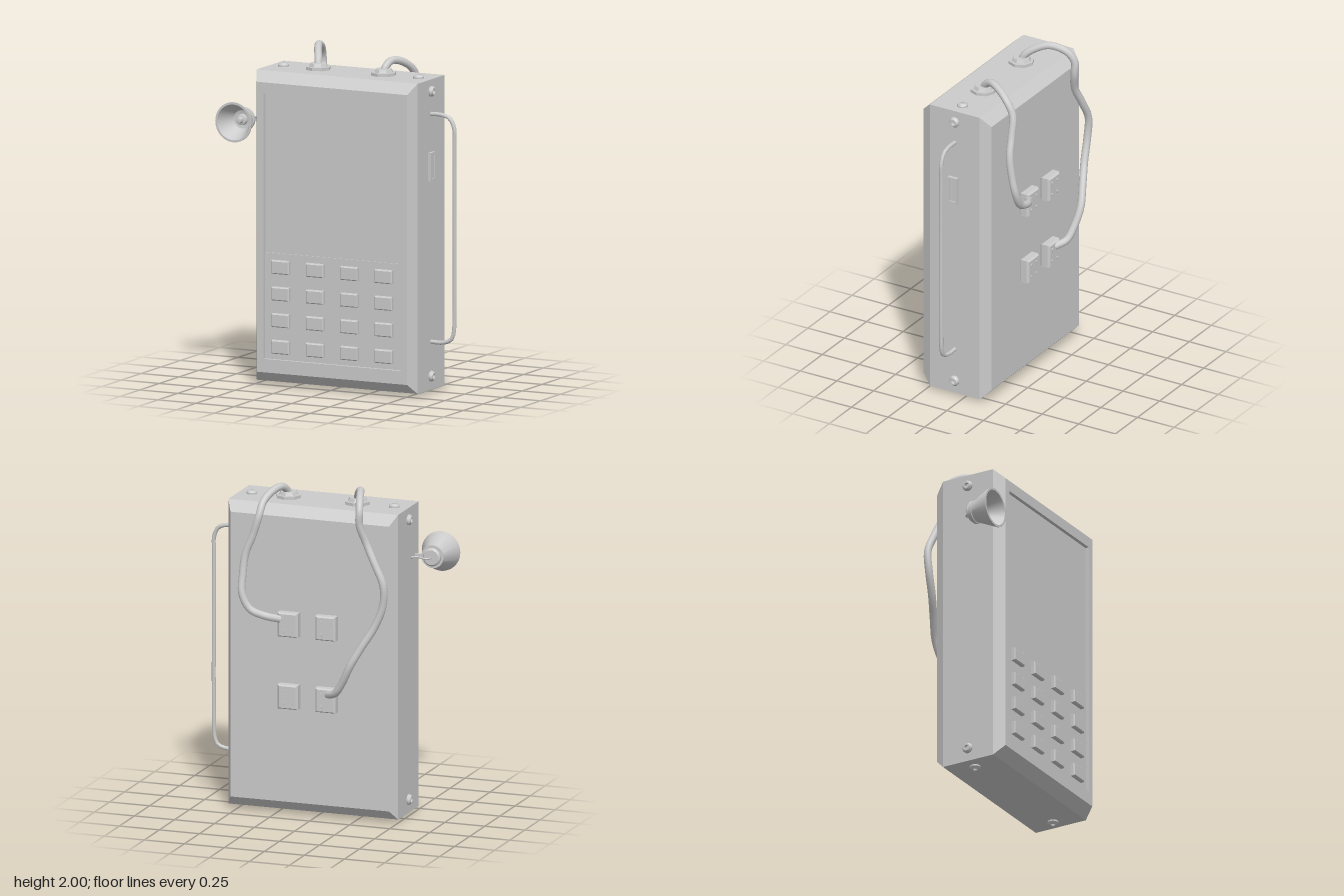
import * as THREE from 'three';
import { toCreasedNormals } from 'three/addons/utils/BufferGeometryUtils.js';

const V = (x, y, z) => new THREE.Vector3(x, y, z);
const grey = new THREE.MeshStandardMaterial({ color: 0xcccccc, side: THREE.DoubleSide });

function add(parent, name, geometry, x = 0, y = 0, z = 0) {
  const mesh = new THREE.Mesh(geometry, grey);
  mesh.name = name;
  mesh.position.set(x, y, z);
  parent.add(mesh);
  return mesh;
}

// Box along z lofted through levels of [z, insetX, insetY]
function loftBox(w, h, levels, openFront = false) {
  const n = levels.length - 1;
  const geo = new THREE.BoxGeometry(w, h, n, 1, 1, n);
  const p = geo.attributes.position;
  for (let i = 0; i < p.count; i++) {
    const [z, ix, iy] = levels[Math.round(p.getZ(i) + n / 2)];
    p.setXYZ(i, p.getX(i) - Math.sign(p.getX(i)) * ix, p.getY(i) - Math.sign(p.getY(i)) * iy, z);
  }
  if (openFront) {
    const front = geo.groups[4];
    const index = Array.from(geo.index.array);
    index.splice(front.start, front.count);
    geo.setIndex(index);
  }
  const flat = geo.toNonIndexed();
  flat.computeVertexNormals();
  return flat;
}

function rectPath(path, x0, y0, x1, y1) {
  path.moveTo(x0, y0);
  path.lineTo(x1, y0);
  path.lineTo(x1, y1);
  path.lineTo(x0, y1);
  path.closePath();
  return path;
}

function frame(x0, y0, x1, y1, hole, depth) {
  const shape = rectPath(new THREE.Shape(), x0, y0, x1, y1);
  shape.holes.push(rectPath(new THREE.Path(), ...hole));
  return new THREE.ExtrudeGeometry(shape, { depth, bevelEnabled: false });
}

function lathe(points, segments) {
  const geo = new THREE.LatheGeometry(points.map(([r, y]) => new THREE.Vector2(r, y)), segments);
  return toCreasedNormals(geo, 0.6);
}

function tube(points, radius, segments, sides = 10) {
  const curve = new THREE.CatmullRomCurve3(points.map((q) => V(...q)), false, 'centripetal');
  return new THREE.TubeGeometry(curve, segments, radius, sides);
}

export function createModel() {
  const model = new THREE.Group();
  model.name = 'handheldDevice';

  // Chamfered case with a recessed front
  const cx = 0.03, cy = 0.94;
  add(model, 'caseBody', loftBox(1.06, 1.84,
    [[-0.17, 0.035, 0.06], [-0.11, 0, 0], [0.23, 0, 0], [0.295, 0.035, 0.06]], true), cx, cy, 0);
  add(model, 'frontFrame', frame(-0.465, 0.08, 0.525, 1.8, [-0.42, 0.16, 0.485, 1.735], 0.022), 0, 0, 0.273);
  add(model, 'screen', new THREE.BoxGeometry(0.92, 0.96, 0.02), 0.0325, 1.27, 0.26);
  add(model, 'keypadPanel', new THREE.BoxGeometry(0.92, 0.64, 0.02), 0.0325, 0.47, 0.266);

  // Keys
  const keyGeo = loftBox(0.115, 0.08, [[0, 0, 0], [0.022, 0, 0], [0.028, 0.006, 0.006]]);
  for (let row = 0; row < 4; row++) {
    for (let col = 0; col < 4; col++) {
      add(model, 'key', keyGeo, -0.31 + col * 0.226, 0.71 - row * 0.158, 0.274);
    }
  }

  // Socket-head bolts on the sides, top and bottom
  const boltGeo = lathe([[0.032, -0.005], [0.032, 0.009], [0.022, 0.021], [0.014, 0.021], [0.012, 0.006], [0, 0.006]], 12);
  for (const y of [0.1, 1.79]) {
    add(model, 'sideBolt', boltGeo, 0.56, y, 0.06).rotation.z = -Math.PI / 2;
    add(model, 'sideBolt', boltGeo, -0.5, y, 0.06).rotation.z = Math.PI / 2;
  }
  for (const x of [-0.413, 0.477]) {
    add(model, 'topBolt', boltGeo, x, 1.86, 0.057);
    add(model, 'bottomBolt', boltGeo, x, 0.02, 0.057).rotation.x = Math.PI;
  }

  // Side handle
  add(model, 'handle', tube([
    [0.54, 1.655, 0.06], [0.63, 1.655, 0.06], [0.685, 1.636, 0.06], [0.714, 1.575, 0.06], [0.714, 1.5, 0.06],
    [0.714, 0.45, 0.06], [0.71, 0.37, 0.06], [0.692, 0.325, 0.06], [0.64, 0.305, 0.06], [0.54, 0.305, 0.06],
  ], 0.0125, 60, 8));

  // Side switch: a raised bezel around a sunken slider
  const slider = new THREE.Group();
  slider.name = 'sideSwitch';
  slider.position.set(0.56, 1.345, 0.067);
  slider.rotation.y = Math.PI / 2;
  add(slider, 'switchBezel', frame(-0.032, -0.085, 0.032, 0.085, [-0.02, -0.07, 0.02, 0.07], 0.02));
  add(slider, 'switchSlider', loftBox(0.04, 0.14, [[0, 0, 0], [0.012, 0, 0]]));
  model.add(slider);

  // Octagonal cable ports
  for (const x of [-0.185, 0.245]) {
    const outer = new THREE.CylinderGeometry(0.076, 0.076, 0.02, 8).toNonIndexed();
    const inner = new THREE.CylinderGeometry(0.05, 0.06, 0.024, 8).toNonIndexed();
    outer.computeVertexNormals();
    inner.computeVertexNormals();
    add(model, 'portBase', outer, x, 1.868, 0.055);
    add(model, 'portCollar', inner, x, 1.886, 0.055);
  }

  // Back connectors with four contacts each
  const plugGeo = loftBox(0.127, 0.146,
    [[-0.062, 0.012, 0.008], [-0.05, 0, 0], [-0.01, 0, 0], [0.005, 0.01, 0.01]]);
  const pinGeo = new THREE.CylinderGeometry(0.01, 0.01, 0.01, 8).rotateX(Math.PI / 2);
  for (const x of [-0.088, 0.148]) {
    for (const y of [0.727, 1.162]) {
      const plug = new THREE.Group();
      plug.name = 'backConnector';
      plug.position.set(x, y, -0.17);
      add(plug, 'connectorBlock', plugGeo);
      for (const px of [-0.028, 0.028]) {
        for (const py of [-0.037, 0.037]) add(plug, 'contact', pinGeo, px, py, -0.062);
      }
      model.add(plug);
    }
  }

  // Cables looping from the top ports to the back connectors
  add(model, 'rightCable', tube([
    [-0.185, 1.87, 0.055], [-0.195, 1.915, 0.035], [-0.235, 1.965, -0.04], [-0.262, 1.978, -0.1],
    [-0.29, 1.95, -0.19], [-0.305, 1.89, -0.235], [-0.305, 1.81, -0.235], [-0.34, 1.7, -0.215],
    [-0.4, 1.58, -0.23], [-0.455, 1.46, -0.24], [-0.45, 1.33, -0.235], [-0.4, 1.2, -0.245],
    [-0.33, 1.08, -0.275], [-0.27, 0.97, -0.298], [-0.215, 0.86, -0.285], [-0.165, 0.79, -0.265],
    [-0.1, 0.765, -0.22],
  ], 0.023, 72));
  add(model, 'leftCable', tube([
    [0.245, 1.87, 0.055], [0.25, 1.905, 0.04], [0.265, 1.938, -0.01], [0.295, 1.925, -0.08],
    [0.325, 1.875, -0.155], [0.335, 1.8, -0.2], [0.37, 1.68, -0.212], [0.41, 1.57, -0.225],
    [0.42, 1.45, -0.245], [0.415, 1.34, -0.268], [0.365, 1.25, -0.268], [0.27, 1.215, -0.262],
    [0.195, 1.195, -0.222],
  ], 0.023, 56));

  // Horn facing forward beside the case, with its bracket and wire
  const horn = new THREE.Group();
  horn.name = 'horn';
  horn.position.set(-0.61, 1.55, 0);
  const bell = lathe([
    [0, 0.142], [0.045, 0.142], [0.054, 0.15], [0.054, 0.166], [0.069, 0.166], [0.069, 0.182], [0.062, 0.184],
    [0.119, 0.306], [0.119, 0.313], [0.106, 0.313], [0.055, 0.2], [0.035, 0.195], [0, 0.195],
  ], 32);
  add(horn, 'hornBell', bell.rotateX(Math.PI / 2));
  const driver = lathe([[0.034, 0.19], [0.032, 0.215], [0.018, 0.22], [0.016, 0.25], [0, 0.254]], 16);
  add(horn, 'hornDriver', driver.rotateX(Math.PI / 2));
  add(horn, 'hornBracket', new THREE.BoxGeometry(0.08, 0.02, 0.012), 0.085, 0, 0.172);
  add(horn, 'hornWire', tube([
    [0, 0, 0.15], [0, 0, 0.12], [0.02, 0, 0.103], [0.06, 0.005, 0.108], [0.12, 0, 0.108],
  ], 0.006, 20, 6));
  model.add(horn);

  return model;
}
